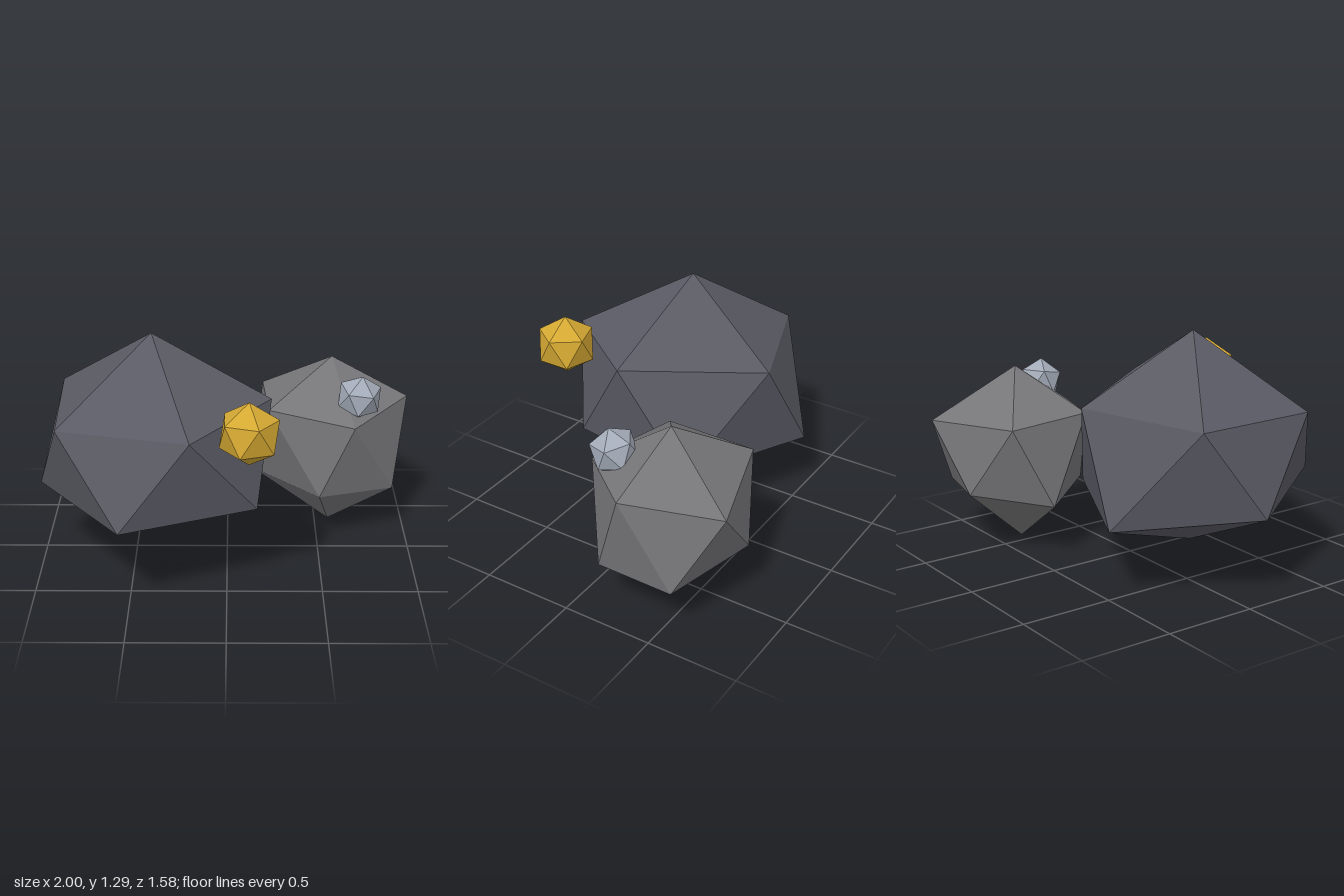
import * as THREE from 'three';

const paint = (name, color) => {
  const m = new THREE.MeshStandardMaterial({ color });
  m.name = name;
  return m;
};

// Twenty-sided stone: a top point, an upper ring of five, a lower ring of five, a bottom point.
// Rings run from +x towards +z; each lower point sits between two upper points.
function stone(name, material, top, upper, lower, bottom) {
  const pos = [];
  const face = (...corners) => corners.forEach((c) => pos.push(...c));
  for (let i = 0; i < 5; i++) {
    const j = (i + 1) % 5;
    face(top, upper[j], upper[i]);
    face(upper[i], upper[j], lower[i]);
    face(upper[j], lower[j], lower[i]);
    face(bottom, lower[i], lower[j]);
  }
  const geo = new THREE.BufferGeometry();
  geo.setAttribute('position', new THREE.Float32BufferAttribute(pos, 3));
  geo.computeVertexNormals(); // unshared corners keep the facets flat
  const mesh = new THREE.Mesh(geo, material);
  mesh.name = name;
  return mesh;
}

// Regular nugget of radius r, its upper ring starting at angle a.
function nugget(name, material, r, a) {
  const ring = (y, start) => Array.from({ length: 5 }, (_, i) => {
    const t = start + (i * Math.PI * 2) / 5;
    return [0.894 * r * Math.cos(t), y, 0.894 * r * Math.sin(t)];
  });
  return stone(name, material, [0, r, 0], ring(0.447 * r, a),
    ring(-0.447 * r, a + Math.PI / 5), [0, -r, 0]);
}

export function createModel() {
  const group = new THREE.Group();
  group.name = 'oreRocks';

  // Large dark boulder
  group.add(stone('largeRock', paint('darkStone', 0x5a5a64),
    [-0.39, 1.29, 0.11],
    [[0.23, 0.96, 0.19], [-0.18, 0.93, 0.71], [-0.86, 0.9, 0.48], [-0.89, 0.91, -0.22], [-0.22, 0.93, -0.465]],
    [[0.155, 0.47, 0.48], [-0.535, 0.48, 0.785], [-1, 0.44, 0.1], [-0.55, 0.38, -0.53], [0.18, 0.406, -0.19]],
    [-0.42, 0.18, 0.08]));

  // Smaller grey boulder
  group.add(stone('smallRock', paint('greyStone', 0x767679),
    [0.575, 0.99, -0.365],
    [[0.995, 0.772, -0.325], [0.682, 0.724, 0.037], [0.225, 0.76, -0.134], [0.2, 0.74, -0.615], [0.762, 0.705, -0.79]],
    [[0.917, 0.288, -0.152], [0.503, 0.307, 0.012], [0.142, 0.294, -0.4], [0.446, 0.346, -0.743], [0.933, 0.297, -0.588]],
    [0.577, 0, -0.346]));

  // Gold nugget on the large boulder
  const gold = nugget('goldNugget', paint('gold', 0xd4a832), 0.166, 0);
  gold.position.set(0.11, 0.943, 0.605);
  group.add(gold);

  // Silver nugget on the small boulder, tipped slightly forward
  const silver = nugget('silverNugget', paint('silver', 0xa4acb9), 0.127, -Math.PI / 2);
  silver.position.set(0.712, 0.845, -0.122);
  silver.rotation.set(0.17, -0.06, -0.1);
  group.add(silver);

  return group;
}
